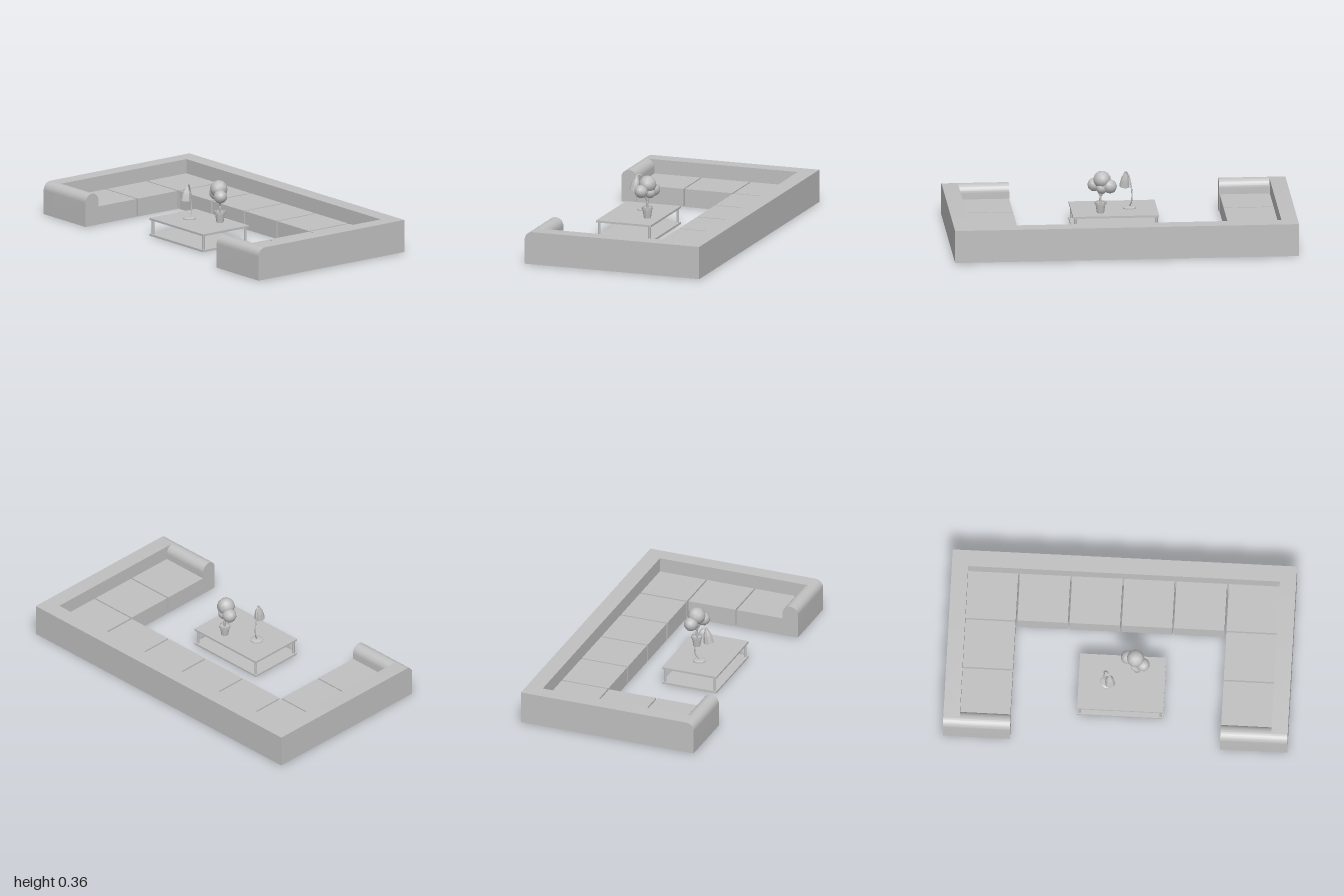
import * as THREE from 'three';
import { toCreasedNormals } from 'three/addons/utils/BufferGeometryUtils.js';

const X = 0.54, Z = 1, H = 0.195, WALL = 0.095, SEAT = 0.11, TABLE = 0.107, FLOOR = 0.003;

export function createModel() {
  const model = new THREE.Group();
  const grey = new THREE.MeshStandardMaterial({ color: 0xc0c0c0 });
  grey.name = 'plain grey';
  const greyOpen = grey; // one colour for every part

  function add(name, geometry, parent, x = 0, y = 0, z = 0) {
    const mesh = new THREE.Mesh(geometry, greyOpen);
    mesh.name = name;
    mesh.position.set(x, y, z);
    parent.add(mesh);
    return mesh;
  }

  // Box given by its limits on each axis
  function block(name, parent, x0, x1, y0, y1, z0, z1) {
    return add(name, new THREE.BoxGeometry(x1 - x0, y1 - y0, z1 - z0), parent,
      (x0 + x1) / 2, (y0 + y1) / 2, (z0 + z1) / 2);
  }

  // Upright profile extruded along z, with smooth rounded corners
  function extrude(shape, depth) {
    return toCreasedNormals(new THREE.ExtrudeGeometry(shape,
      { depth, bevelEnabled: false, curveSegments: 14 }), 0.5);
  }

  function group(name) {
    const g = new THREE.Group();
    g.name = name;
    model.add(g);
    return g;
  }

  // Sofa shell
  const sofa = group('sofa');
  const inX = X - WALL - 0.003, inZ = Z - WALL, armZ = 0.61;
  block('backRest', sofa, inX, X, FLOOR, H, -Z, Z);

  const r = WALL / 2;
  const endShape = new THREE.Shape();
  endShape.moveTo(-X, FLOOR);
  endShape.lineTo(inX, FLOOR);
  endShape.lineTo(inX, H);
  endShape.lineTo(-X + r, H);
  endShape.absarc(-X + r, H - r, r, Math.PI / 2, Math.PI, false);

  const armShape = new THREE.Shape();
  armShape.moveTo(-X, FLOOR);
  armShape.lineTo(-X + WALL, FLOOR);
  armShape.lineTo(-X + WALL, H - r);
  armShape.absarc(-X + r, H - r, r, 0, Math.PI, false);

  for (const side of [-1, 1]) {
    add('endRest', extrude(endShape, WALL), sofa, 0, 0, side > 0 ? inZ : -Z);
    add('armRest', extrude(armShape, inZ - armZ), sofa, 0, 0, side > 0 ? armZ : -inZ);
    // Seats of each wing, the last one filling the corner
    for (const [x0, x1] of [[-X + WALL, -0.158], [-0.149, 0.144], [0.153, inX]]) {
      block('wingSeat', sofa, x0, x1, FLOOR, SEAT, side > 0 ? armZ : -inZ, side > 0 ? inZ : -armZ - 0.004);
    }
  }
  // Seats along the back
  for (let i = 0; i < 4; i++) {
    const z0 = -0.604 + i * 0.303;
    block('backSeat', sofa, 0.153, inX, FLOOR, SEAT, z0, z0 + 0.293);
  }

  // Coffee table
  const table = group('table');
  const slab = 0.012;
  block('tableTop', table, -0.37, -0.03, TABLE - slab, TABLE, -0.23, 0.27);
  block('tableShelf', table, -0.37, -0.03, 0, slab, -0.23, 0.27);
  for (const x of [-0.355, -0.045]) for (const z of [-0.215, 0.255]) {
    add('tableLeg', new THREE.CylinderGeometry(0.008, 0.008, TABLE - 2 * slab, 10), table, x, TABLE / 2, z);
  }

  // Desk lamp
  const v = (x, y, z) => new THREE.Vector3(x, y, z);
  const lathe = (pts, n) => toCreasedNormals(
    new THREE.LatheGeometry(pts.map(p => new THREE.Vector2(...p)), n), 0.3);
  const lamp = group('lamp');
  add('lampBase', lathe([[0, 0], [0.038, 0], [0.038, 0.006], [0.026, 0.011], [0, 0.013]], 16),
    lamp, -0.2, TABLE, -0.07);
  const stem = new THREE.CatmullRomCurve3([v(-0.2, TABLE + 0.01, -0.07), v(-0.18, 0.15, -0.08),
    v(-0.175, 0.2, -0.083), v(-0.188, 0.26, -0.076), v(-0.208, 0.307, -0.064),
    v(-0.222, 0.318, -0.056), v(-0.234, 0.312, -0.051)]);
  add('lampStem', new THREE.TubeGeometry(stem, 28, 0.004, 6), lamp);
  // Closed bell: outer wall up from the rim, inner wall back down
  const shade = add('lampShade', lathe([[0.027, -0.088], [0.031, -0.09], [0.027, -0.06], [0.022, -0.035],
    [0.011, -0.012], [0.007, 0.004], [0, 0.004]], 9), lamp, -0.234, 0.314, -0.05);
  const lining = add('lampShadeLining', lathe([[0, -0.012], [0.009, -0.015], [0.019, -0.037],
    [0.027, -0.088]], 9), lamp, -0.234, 0.314, -0.05);
  for (const part of [shade, lining]) part.rotation.set(-0.06, 0, -0.16);

  // Potted tree
  const plant = group('plant');
  const px = -0.113, pz = 0.105;
  add('pot', lathe([[0, 0], [0.021, 0], [0.029, 0.052], [0.034, 0.052], [0.034, 0.066],
    [0.029, 0.066], [0.028, 0.057], [0, 0.057]], 12), plant, px, TABLE, pz);
  const crowns = [
    [v(-0.115, 0.305, 0.096), 0.052],
    [v(-0.139, 0.27, 0.14), 0.04],
    [v(-0.097, 0.268, 0.052), 0.042],
    [v(-0.102, 0.258, 0.098), 0.035],
  ];
  for (const [c, radius] of crowns) {
    const branch = new THREE.CatmullRomCurve3([v(px, TABLE + 0.05, pz), v(px, 0.205, pz), c]);
    add('branch', new THREE.TubeGeometry(branch, 8, 0.006, 6), plant);
    const crown = new THREE.IcosahedronGeometry(radius, 1);
    add('foliage', crown, plant, c.x, c.y, c.z).rotation.set(radius * 20, radius * 50, 0.3);
  }
  return model;
}
